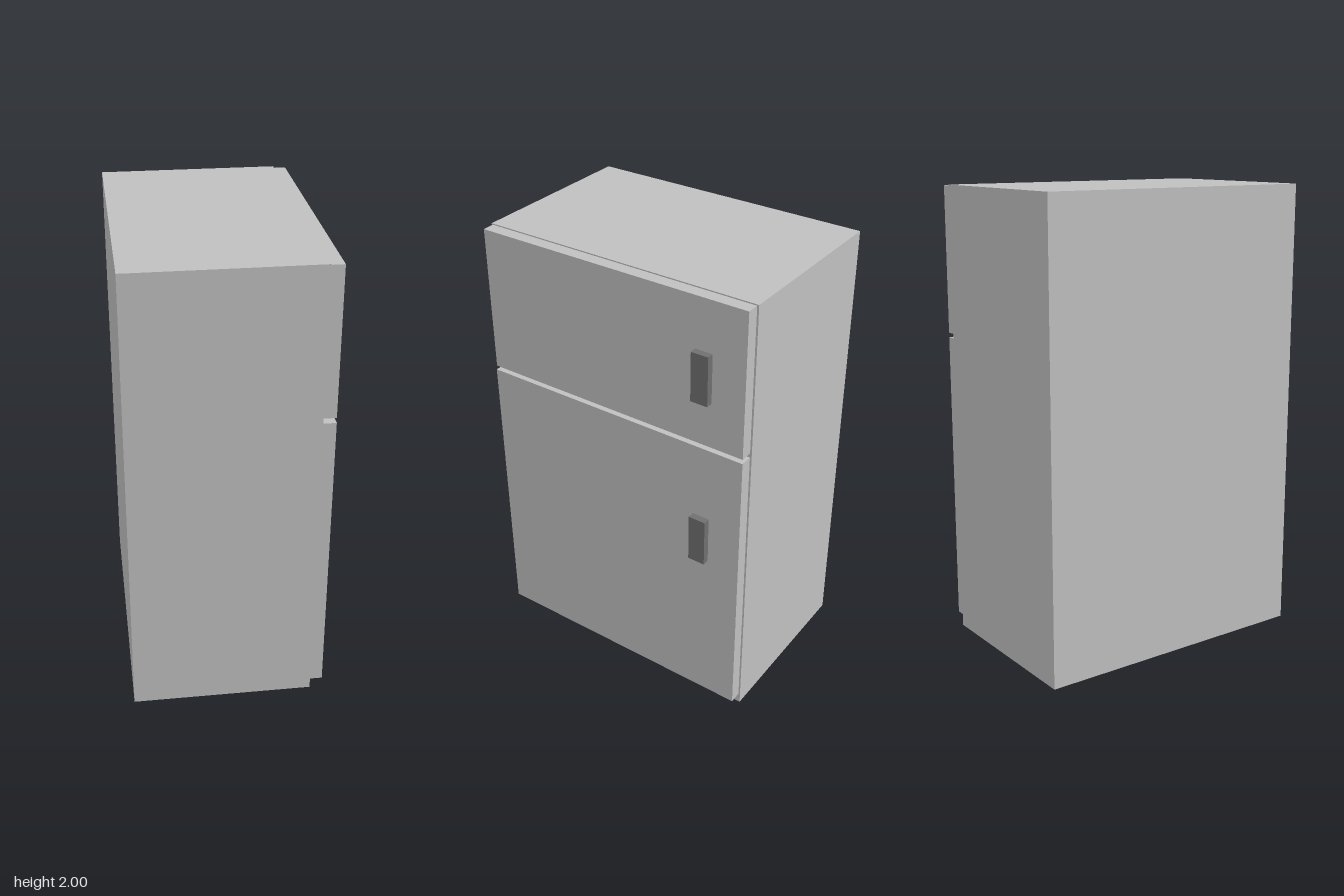
import * as THREE from 'three';

export function createModel() {
  const fridge = new THREE.Group();
  fridge.name = 'refrigerator';

  const shell = new THREE.MeshStandardMaterial({ color: 0xc0c0c0 });
  shell.name = 'light grey';
  const grip = new THREE.MeshStandardMaterial({ color: 0x707070 });
  grip.name = 'dark grey';

  // Box given by its lower and upper limits on each axis
  function box(name, material, [x0, x1], [y0, y1], [z0, z1]) {
    const mesh = new THREE.Mesh(new THREE.BoxGeometry(x1 - x0, y1 - y0, z1 - z0), material);
    mesh.position.set((x0 + x1) / 2, (y0 + y1) / 2, (z0 + z1) / 2);
    mesh.name = name;
    fridge.add(mesh);
  }

  // Cabinet
  box('cabinet', shell, [-0.433, 0.349], [0, 2], [-0.632, 0.632]);

  // Doors on the +x side, each with a handle near the back edge
  const doors = [
    { name: 'freezer', y: [1.36, 1.995], z: [-0.624, 0.626], handle: [1.56, 1.775] },
    { name: 'fridge', y: [0.046, 1.34], z: [-0.624, 0.63], handle: [0.79, 1.006] },
  ];
  for (const d of doors) {
    box(d.name + 'Door', shell, [0.349, 0.403], d.y, d.z);
    box(d.name + 'Handle', grip, [0.403, 0.433], d.handle, [-0.477, -0.4]);
  }

  return fridge;
}
